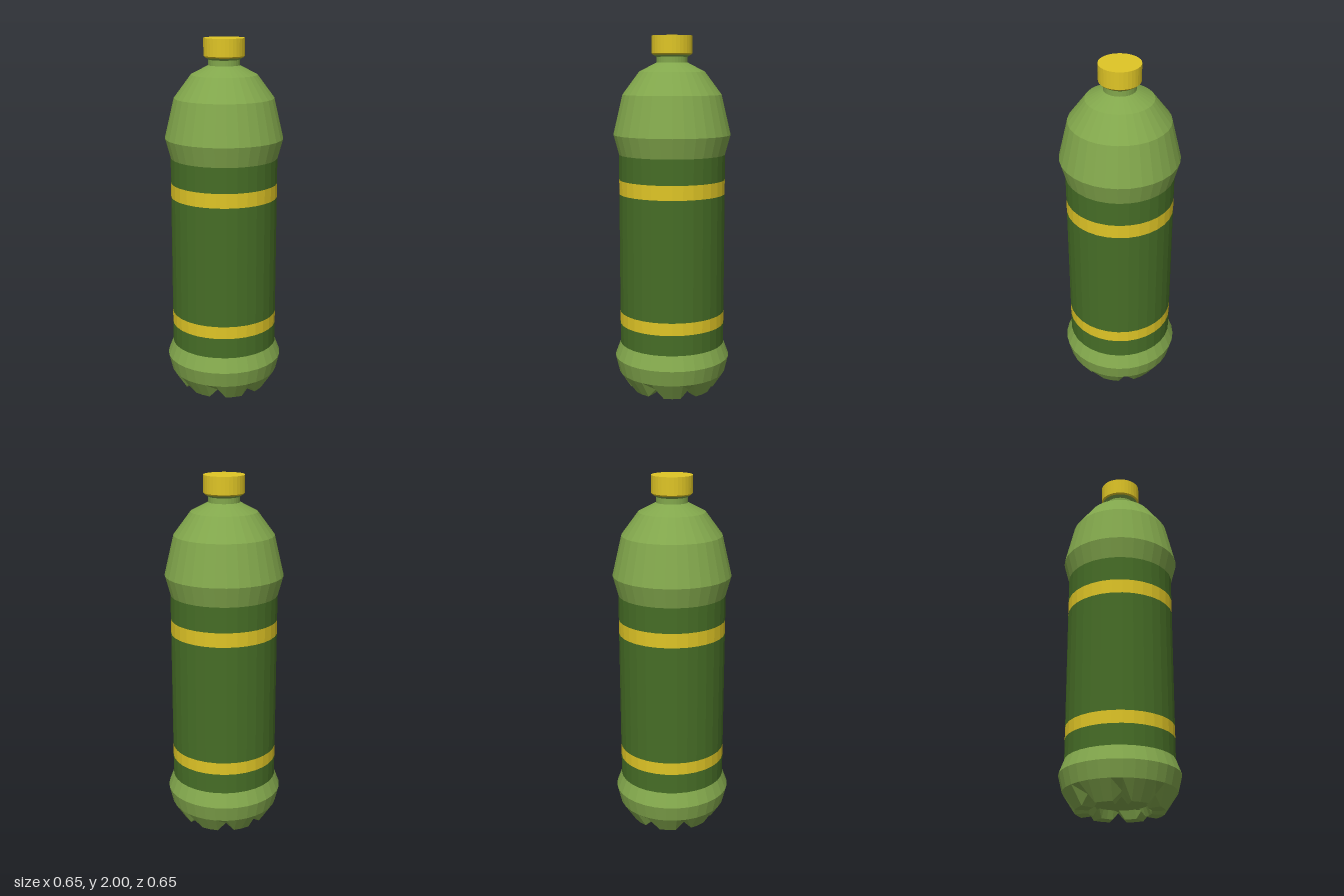
import * as THREE from 'three';

const SIDES = 32;

const lightGreen = new THREE.MeshStandardMaterial({ color: 0x82a74c });
const darkGreen = new THREE.MeshStandardMaterial({ color: 0x466d26 });
const yellow = new THREE.MeshStandardMaterial({ color: 0xdfc526 });

// Faceted solid of revolution; profile runs bottom to top as [radius, y]
function turned(name, material, profile, reshape) {
  const lathe = new THREE.LatheGeometry(profile.map(([r, y]) => new THREE.Vector2(r, y)), SIDES);
  if (reshape) reshape(lathe.attributes.position, profile.length);
  const geometry = lathe.toNonIndexed();
  geometry.computeVertexNormals();
  const mesh = new THREE.Mesh(geometry, material);
  mesh.name = name;
  return mesh;
}

// Raise every fourth column of the two foot rings, leaving eight feet
function carveGrooves(position, rows) {
  for (let column = 0; column <= SIDES; column += 4) {
    for (const row of [2, 3]) {
      position.setY(column * rows + row, row === 2 ? 0.04 : 0.05);
    }
  }
}

export function createModel() {
  const bottle = new THREE.Group();
  bottle.name = 'bottle';

  // Footed base with a recessed centre
  bottle.add(turned('base', lightGreen, [
    [0, 0.045], [0.15, 0.045], [0.168, 0], [0.24, 0],
    [0.305, 0.1], [0.327, 0.19], [0.297, 0.27],
  ], carveGrooves));

  // Label wrapped around the straight body, with two stripes
  const label = [
    ['labelBottom', darkGreen, 0.27, 0.385],
    ['lowerStripe', yellow, 0.385, 0.455],
    ['labelMiddle', darkGreen, 0.455, 1.13],
    ['upperStripe', yellow, 1.13, 1.21],
    ['labelTop', darkGreen, 1.21, 1.35],
  ];
  for (const [name, material, y0, y1] of label) {
    bottle.add(turned(name, material, [[0.297, y0], [0.297, y1]]));
  }

  // Shoulder and neck
  bottle.add(turned('shoulder', lightGreen, [
    [0.297, 1.35], [0.327, 1.46], [0.275, 1.68], [0.182, 1.805], [0.086, 1.855],
  ]));
  bottle.add(turned('neck', lightGreen, [
    [0.086, 1.855], [0.086, 1.885], [0.104, 1.897], [0, 1.897],
  ]));

  // Screw cap
  bottle.add(turned('cap', yellow, [
    [0, 1.897], [0.104, 1.897], [0.112, 1.905], [0.112, 2], [0, 2],
  ]));

  return bottle;
}
